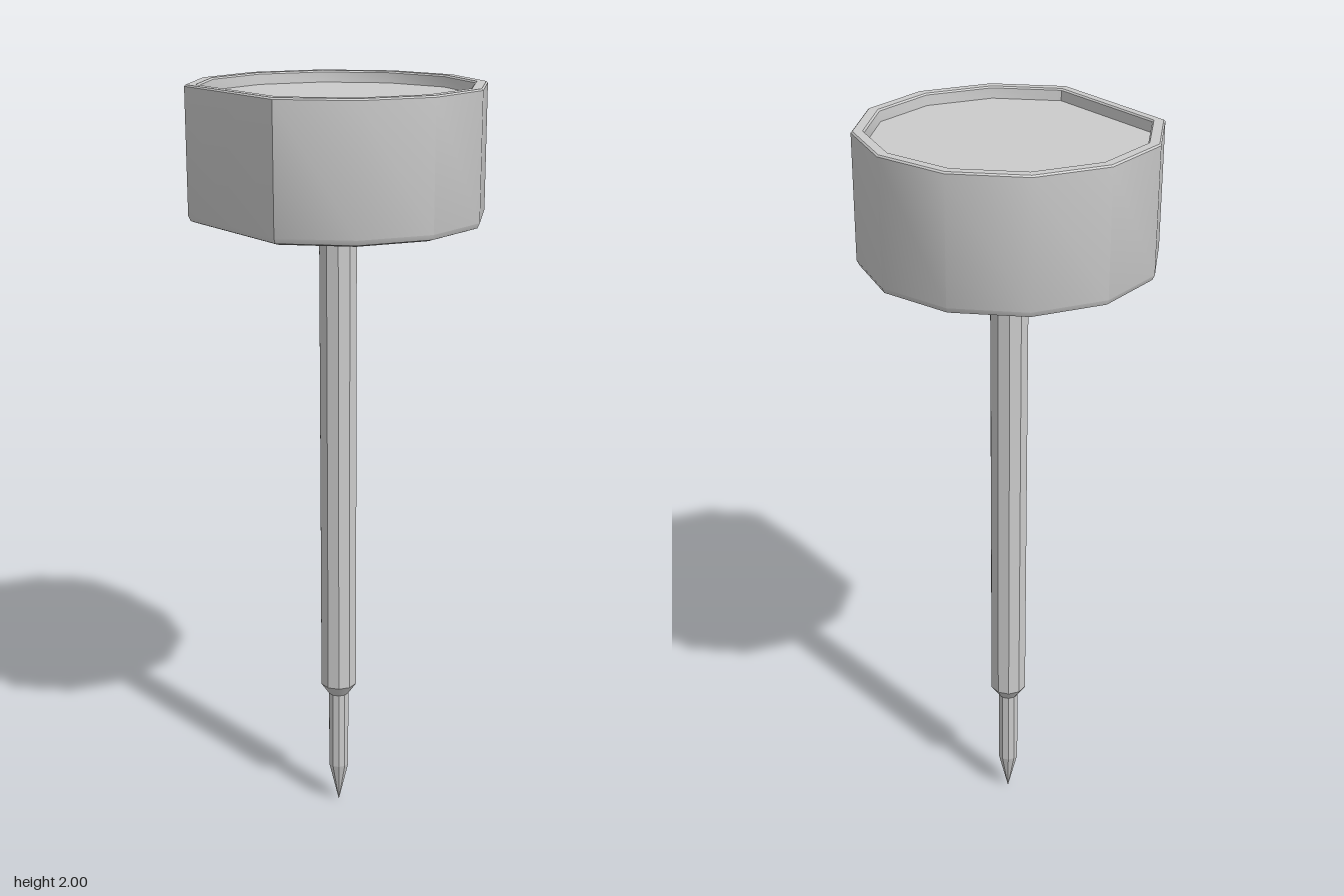
import * as THREE from 'three';
import { toCreasedNormals } from 'three/addons/utils/BufferGeometryUtils.js';

const material = new THREE.MeshStandardMaterial({ color: 0xcccccc });
const AXIS_Z = 0.024;

// Faceted turned part from [radius, height] pairs listed bottom to top
function turned(profile, sides, phiStart = 0) {
  const points = profile.map(([r, y]) => new THREE.Vector2(r, y));
  return new THREE.LatheGeometry(points, sides, phiStart);
}

function addPart(group, name, geometry, creaseDegrees) {
  const creased = toCreasedNormals(geometry, THREE.MathUtils.degToRad(creaseDegrees));
  const mesh = new THREE.Mesh(creased, material);
  mesh.name = name;
  group.add(mesh);
}

export function createModel() {
  const group = new THREE.Group();
  group.name = 'dialProbe';

  // Twelve-sided head: shallow cone underneath, rounded rim, recessed face
  const head = turned([
    [0, 1.628], [0.355, 1.662], [0.37, 1.667], [0.376, 1.68],
    [0.376, 1.996], [0.372, 2], [0.348, 2], [0.344, 1.996],
    [0.342, 1.97], [0, 1.97],
  ], 12);
  // Pull the front corner back so two sides merge into one wide flat
  const pos = head.attributes.position;
  for (let i = 0; i < pos.count; i++) {
    if (Math.abs(pos.getX(i)) < 1e-4 && pos.getZ(i) > 0) {
      pos.setXYZ(i, 0, pos.getY(i), pos.getZ(i) * Math.cos(Math.PI / 6));
    }
  }
  addPart(group, 'head', head, 35);

  // Ten-sided stem, narrowing to a thin neck and a pointed tip
  const phase = Math.PI / 10;
  addPart(group, 'stem', turned([[0.028, 0.34], [0.05, 0.372], [0.05, 1.64]], 10, phase), 30);
  addPart(group, 'neck', turned([[0.028, 0.118], [0.028, 0.34]], 10, phase), 30);
  addPart(group, 'tip', turned([[0, 0], [0.028, 0.118]], 10, phase), 30);

  group.children.forEach((part) => { part.position.z = AXIS_Z; });
  return group;
}
